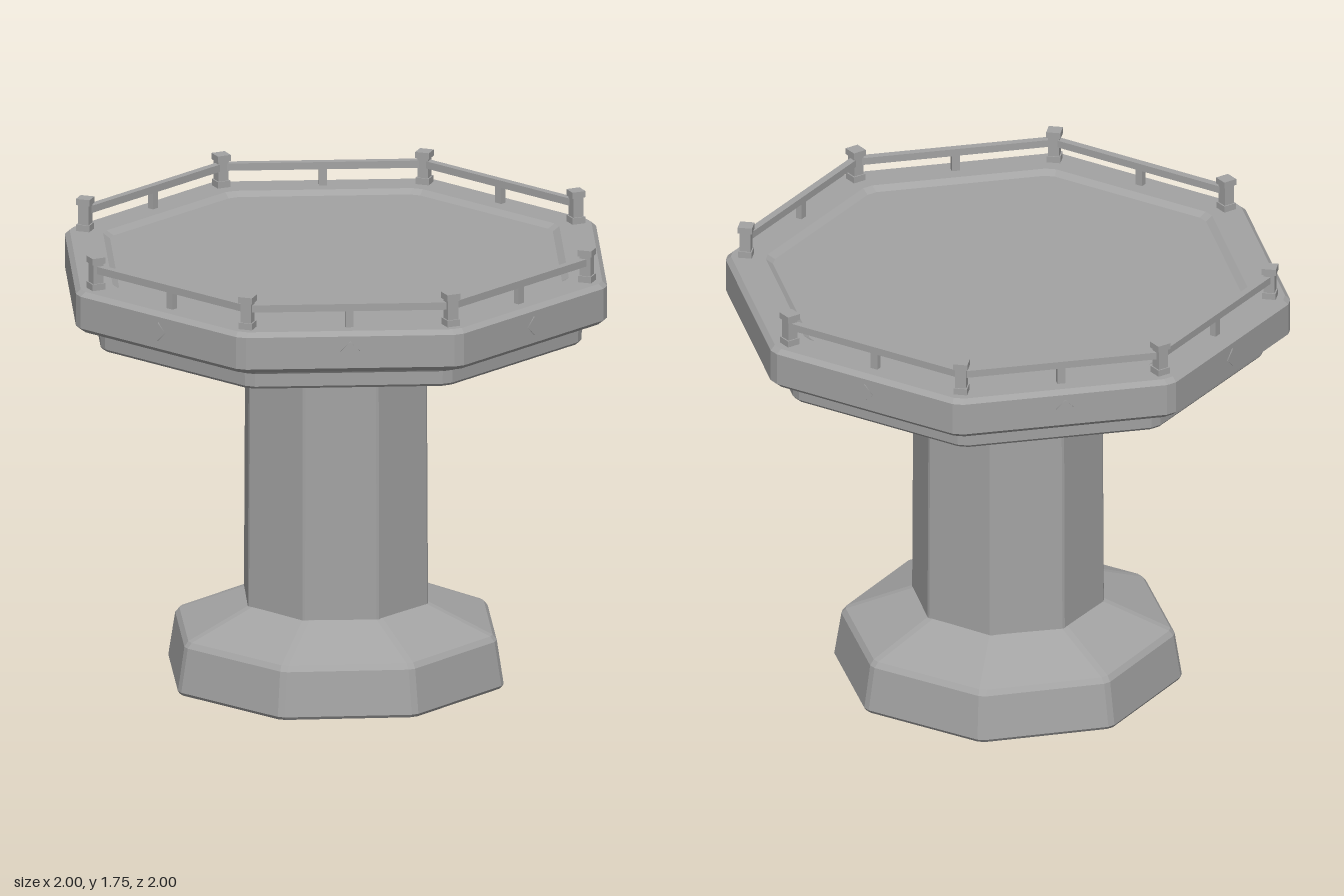
import * as THREE from 'three';

const stone = new THREE.MeshStandardMaterial({ color: 0xa3a3a3 });
stone.name = 'grey stone';

const STEP = Math.PI / 4;
const TAN = Math.tan(Math.PI / 8);

// Octagonal solid from a profile of [apothem, y], bottom centre to top centre,
// with narrow chamfers along the eight corners.
function octagonSolid(profile, chamfer) {
  const rings = profile.map(([ap, y]) => {
    const half = Math.max(0, ap * TAN - chamfer);
    const ring = [];
    for (let k = 0; k < 8; k++) {
      const s = Math.sin(k * STEP), c = Math.cos(k * STEP);
      for (const t of [-half, half]) ring.push([s * ap + c * t, y, c * ap - s * t]);
    }
    return ring;
  });
  const pos = [];
  for (let j = 0; j < rings.length - 1; j++) {
    for (let i = 0; i < 16; i++) {
      const n = (i + 1) % 16;
      const a = rings[j][i], b = rings[j][n], c = rings[j + 1][n], d = rings[j + 1][i];
      if (profile[j][0] > 0) pos.push(...a, ...b, ...c);
      if (profile[j + 1][0] > 0) pos.push(...a, ...c, ...d);
    }
  }
  const g = new THREE.BufferGeometry();
  g.setAttribute('position', new THREE.Float32BufferAttribute(pos, 3));
  g.computeVertexNormals();
  return g;
}

function add(parent, name, geometry, x = 0, y = 0, z = 0) {
  const m = new THREE.Mesh(geometry, stone);
  m.name = name;
  m.position.set(x, y, z);
  parent.add(m);
  return m;
}

export function createModel() {
  const model = new THREE.Group();
  model.name = 'octagonalPlatform';

  // Spreading foot
  add(model, 'foot', octagonSolid([
    [0, 0], [0.6, 0], [0.608, 0.012], [0.583, 0.18], [0.568, 0.2], [0.335, 0.305], [0, 0.305],
  ], 0.015));

  // Everything above the foot is turned very slightly
  const upper = new THREE.Group();
  upper.name = 'upperPart';
  upper.rotation.y = -0.022;
  model.add(upper);

  // Column with a small flare under the deck
  add(upper, 'column', octagonSolid([
    [0, 0.28], [0.336, 0.28], [0.331, 1.345], [0.36, 1.378], [0, 1.378],
  ], 0.006));

  // Stepped deck with a shallow sunken floor
  add(upper, 'deck', octagonSolid([
    [0, 1.375], [0.888, 1.375], [0.896, 1.385], [0.898, 1.435], [0.912, 1.455],
    [0.97, 1.462], [0.99, 1.48], [0.99, 1.603], [0.972, 1.62],
    [0.85, 1.62], [0.825, 1.603], [0, 1.603],
  ], 0.022));

  // Corner posts
  const R = 0.99;
  const apothem = R * Math.cos(STEP / 2);
  for (let k = 0; k < 8; k++) {
    const a = (k + 0.5) * STEP;
    const post = new THREE.Group();
    post.name = 'post';
    post.position.set(Math.sin(a) * R, 1.615, Math.cos(a) * R);
    post.rotation.y = a;
    upper.add(post);
    add(post, 'postBase', new THREE.BoxGeometry(0.052, 0.03, 0.052), 0, 0.015, 0);
    add(post, 'postShaft', new THREE.BoxGeometry(0.042, 0.1, 0.042), 0, 0.065, 0);
    add(post, 'postCap', new THREE.BoxGeometry(0.054, 0.024, 0.054), 0, 0.118, 0);
  }

  // Rails, middle balusters and raised diamonds; the two sides stay open
  const diamond = new THREE.CylinderGeometry(0.036, 0.036, 0.008, 4).rotateX(Math.PI / 2);
  for (let k = 0; k < 8; k++) {
    if (k === 2 || k === 6) continue;
    const side = new THREE.Group();
    side.name = 'railing';
    side.rotation.y = k * STEP;
    upper.add(side);
    add(side, 'rail', new THREE.BoxGeometry(2 * R * Math.sin(STEP / 2), 0.028, 0.028), 0, 1.697, apothem);
    add(side, 'baluster', new THREE.BoxGeometry(0.03, 0.075, 0.024), 0, 1.65, apothem);
    add(side, 'diamond', diamond, 0, 1.547, 0.99);
  }
  return model;
}
